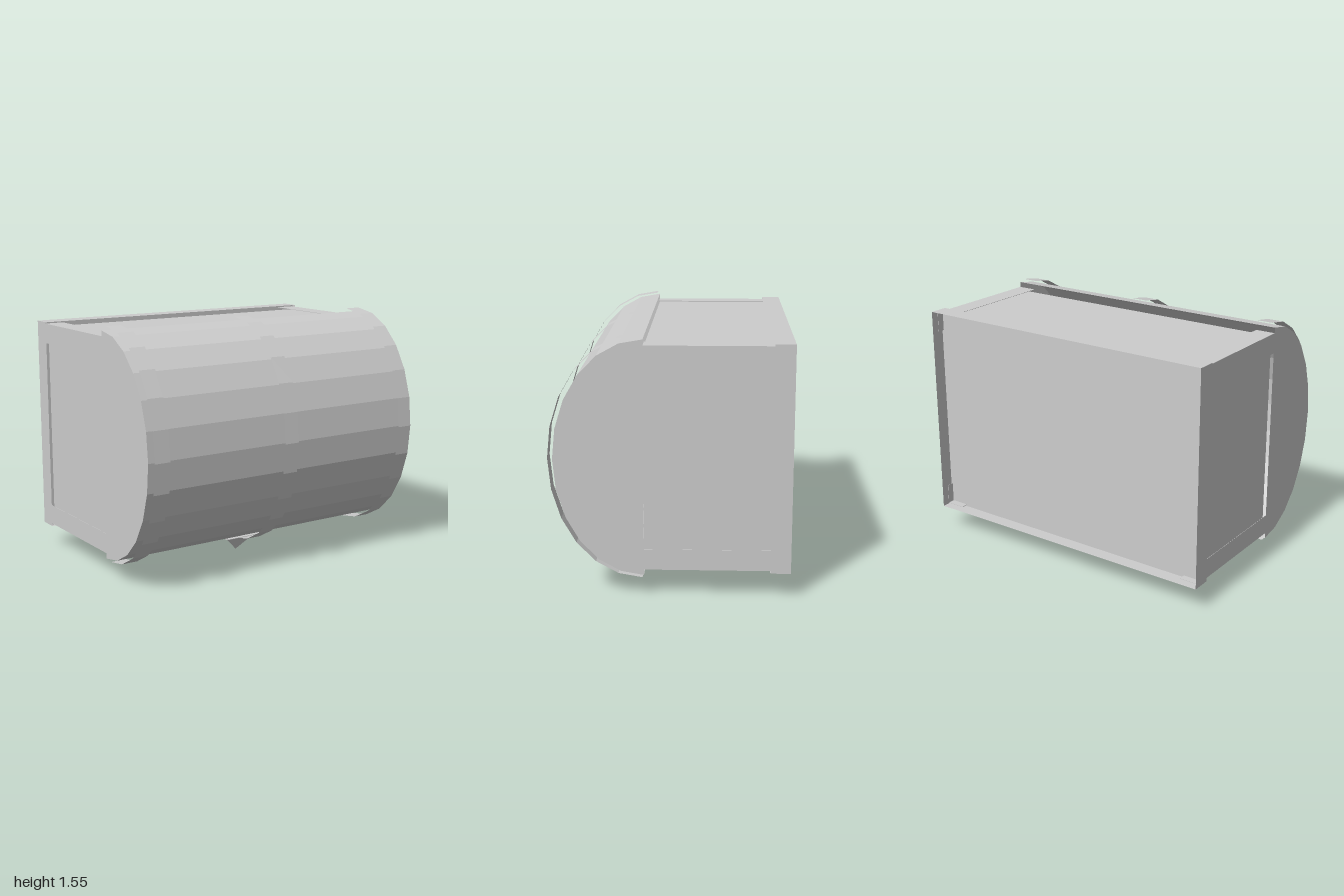
import * as THREE from 'three';

export function createModel() {
  const group = new THREE.Group();
  group.name = 'chest';
  const grey = new THREE.MeshStandardMaterial({ color: 0xcccccc, flatShading: true, side: THREE.DoubleSide });
  grey.name = 'plain grey';
  const midY = 0.829;

  function add(name, geometry, x = 0, y = 0, z = 0) {
    const mesh = new THREE.Mesh(geometry, grey);
    mesh.name = name;
    mesh.position.set(x, y, z);
    group.add(mesh);
    return mesh;
  }
  // Box given by its limits on each axis, in either order
  function box(name, x0, x1, y0, y1, z0, z1) {
    return add(name, new THREE.BoxGeometry(Math.abs(x1 - x0), Math.abs(y1 - y0), Math.abs(z1 - z0)),
      (x0 + x1) / 2, (y0 + y1) / 2, (z0 + z1) / 2);
  }
  // Half-elliptical open shell running along x
  function shell(width, height, depth) {
    return new THREE.CylinderGeometry(1, 1, width, 12, 1, true, -Math.PI / 2, Math.PI)
      .rotateZ(Math.PI / 2).scale(1, height, depth);
  }

  // Inner body, set back slightly behind the corner rails
  box('body', -0.968, 0.968, midY - 0.645, midY + 0.645, -0.62, 0.15);

  // Base panel filling the rim
  box('basePanel', -0.999, 0.999, midY - 0.676, midY + 0.676, -0.625, -0.62);

  // Thin L-shaped rails along the four long corners
  for (const sx of [-1, 1]) {
    for (const sy of [-1, 1]) {
      const yOut = midY + sy * 0.666;
      box('cornerRailFlat', sx * 0.865, sx * 0.99, yOut - sy * 0.002, yOut, -0.67, 0.15);
      box('cornerRailSide', sx * 0.988, sx * 0.99, midY + sy * 0.54, yOut, -0.67, 0.15);
    }
  }

  // Thin open rim around the base
  add('baseRim', new THREE.CylinderGeometry(Math.SQRT1_2, Math.SQRT1_2, 0.12, 4, 1, true)
    .rotateY(Math.PI / 4).rotateX(Math.PI / 2).scale(2, 1.355, 1), 0, midY, -0.65);

  // Rounded lid with end caps, open towards the body
  add('lid', shell(1.98, 0.7, 0.525), 0, midY, 0.15);
  for (const s of [-1, 1]) {
    add('lidEnd', new THREE.CircleGeometry(1, 12, -Math.PI / 2, Math.PI)
      .rotateY(-Math.PI / 2).scale(1, 0.7, 0.525), s * 0.99, midY, 0.15);
  }

  // Three thin straps over the lid
  for (const x of [-0.914, 0, 0.914]) {
    add('strap', shell(0.104, 0.724, 0.547), x, midY, 0.16);
  }

  // Latch plate: shallow tray with an open front
  box('latchPlate', -0.175, 0.175, 0.13, 0.133, -0.06, 0.26);
  box('latchPlateBack', -0.175, 0.175, 0.13, 0.165, -0.06, -0.057);
  for (const s of [-1, 1]) {
    box('latchPlateSide', s * 0.172, s * 0.175, 0.13, 0.165, -0.06, 0.26);
  }

  // Latch: bevel and four-sided point
  add('latchBevel', new THREE.CylinderGeometry(0.08, 0.105, 0.022, 4, 1, true)
    .scale(1, 1, 1.4), 0, 0.121, 0.1);
  add('latchPoint', new THREE.ConeGeometry(0.105, 0.11, 4, 1, true)
    .rotateX(Math.PI).scale(1, 1, 1.4), 0, 0.055, 0.1);

  return group;
}
